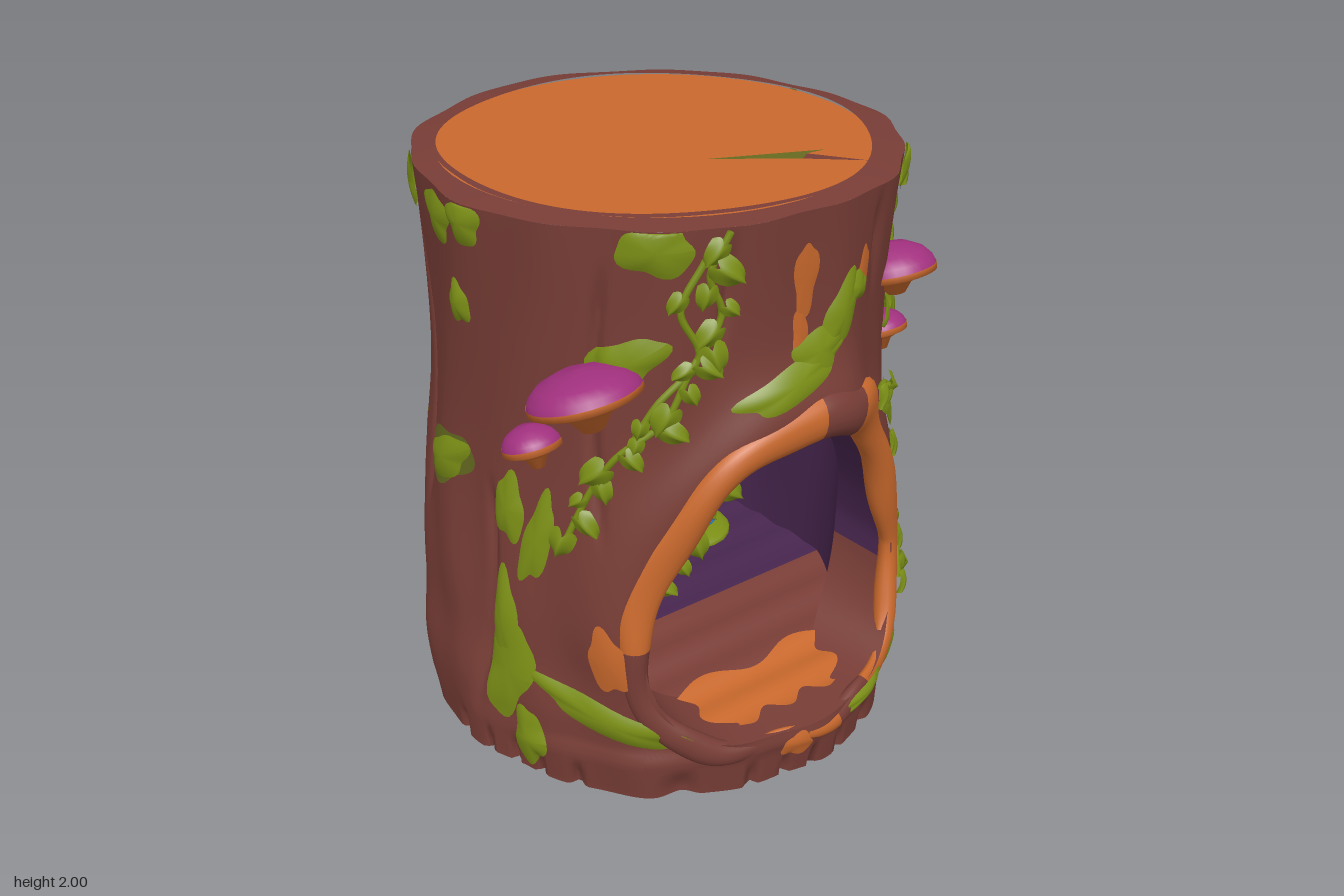
import * as THREE from 'three';

const mat = (name, color, side = THREE.FrontSide) => {
  const m = new THREE.MeshStandardMaterial({ color, side });
  m.name = name;
  return m;
};
const V = (x, y, z) => new THREE.Vector3(x, y, z);
const { sin, cos, abs, PI, exp, sqrt, pow, asin, min, max } = Math;
const lerp = THREE.MathUtils.lerp, smooth = THREE.MathUtils.smoothstep;
const DEG = PI / 180;

// Indexed surface from a rule f(u, v), with optional exact normals
function grid(f, nu, nv, normal) {
  const pos = [], nor = [], idx = [];
  for (let j = 0; j <= nv; j++) for (let i = 0; i <= nu; i++) {
    pos.push(...f(i / nu, j / nv).toArray());
    if (normal) nor.push(...normal(i / nu, j / nv).toArray());
    if (i < nu && j < nv) {
      const a = j * (nu + 1) + i, b = a + 1, c = a + nu + 1, d = c + 1;
      idx.push(a, b, d, a, d, c);
    }
  }
  const g = new THREE.BufferGeometry();
  g.setAttribute('position', new THREE.Float32BufferAttribute(pos, 3));
  g.setIndex(idx);
  if (normal) g.setAttribute('normal', new THREE.Float32BufferAttribute(nor, 3));
  else g.computeVertexNormals();
  return g;
}

// Trunk radius by height, and deep bark creases [angle, low y, high y]
const PROFILE = new THREE.SplineCurve([[0, .83], [.25, .85], [.45, .83], [.65, .82], [1, .785], [1.3, .765], [1.65, .765], [2, .785]].map(p => new THREE.Vector2(p[1], p[0])));
const ROWS = PROFILE.getPoints(60);
const CREASES = [[-150, .3, 1.9], [-112, .7, 2], [-80, .1, 1.1], [-48, .9, 1.9], [-22, 1.5, 2], [24, 1.55, 2], [52, .5, 1.6],
  [66, .2, 1.2], [122, .9, 2], [131, .3, 2], [147, .1, 1.5], [160, .9, 2], [174, .2, 1.6]];
function baseRadius(y) {
  let k = 0;
  while (k < 59 && ROWS[k + 1].y < y) k++;
  const a = ROWS[k], b = ROWS[k + 1];
  return lerp(a.x, b.x, min(1, max(0, (y - a.y) / (b.y - a.y))));
}
function radius(t, y) {
  let r = baseRadius(y);
  r += .008 * sin(3 * t + 2 * y + 1) + .008 * sin(7 * t + 1.5 * sin(2.2 * y)) + .006 * sin(15 * t + 2 * sin(3 * y + t));
  // ragged foot, back swelling, sill and raised door surround
  r -= .03 * (1 - smooth(y, .02, .13)) * pow(max(0, sin(29 * t + 4 * sin(5 * t))), 4);
  r += .035 * exp(-(((y - .95) / .22) ** 2)) * max(0, -cos(t)) ** 2;
  if (cos(t) > 0) {
    const q = sqrt((.8 * sin(t) / .5) ** 2 + ((y - .68) / (y > .68 ? .6 : .48)) ** 2);
    r += .045 * exp(-(((q - 1.08) / .2) ** 2)) * smooth(y, .1, .3);
    r += .03 * cos(t) * (1 - smooth(y, .14, .22));
    r += .02 * exp(-(((y - 1.38) / .14) ** 2) - (t / .4) ** 2);
  }
  for (const [a, y0, y1] of CREASES) {
    const d = (t - a * DEG + .04 * sin(4 * y + a)) / .026;
    if (abs(d) < 3) r -= .022 * exp(-d * d) * smooth(y, y0, y0 + .3) * (1 - smooth(y, y1 - .2, y1));
  }
  return r;
}
const wrap = t => t > PI ? t - 2 * PI : t < -PI ? t + 2 * PI : t;
const polar = (t, r, y) => V(r * sin(t), y, r * cos(t));
const bark = (t, y) => polar(t, radius(wrap(t), y), y);
const barkNormal = (t, y) => {
  const e = .006;
  return bark(t + e, y).sub(bark(t - e, y)).cross(bark(t, y + e).sub(bark(t, y - e))).normalize();
};
const cavity = (t, y) => polar(t, (.63 + .022 * sin(6 * t + 2 * sin(2 * y)) - .05 * exp(-(((wrap(t - PI) + .12 + .12 * sin(3 * y)) / .12) ** 2))) * sqrt(max(.05, 1 - max(0, (y - .95) / .62) ** 2)), y);

// Arched doorway: top and bottom heights for s in -1..1
const HALF = .5;
const archTop = s => .6 + .67 * pow(max(0, 1 - pow(abs(s), 2.2)), .65);
const archLow = s => .6 - .4 * pow(max(0, 1 - pow(abs(s), 5)), .6);
const doorAngle = (s, r) => asin(s * HALF / r);
const door = (a, r) => [doorAngle(sin(a), r), cos(a) >= 0 ? archTop(sin(a)) : archLow(sin(a))];

export function createModel() {
  const root = new THREE.Group();
  root.name = 'hollowStump';
  const brown = mat('bark brown', 0x783d36), orange = mat('cut wood orange', 0xc8682c, THREE.DoubleSide);
  const moss = mat('moss green', 0x7c9016, THREE.DoubleSide), faded = mat('faded moss', 0x666a20, THREE.DoubleSide);
  const purple = mat('hollow purple', 0x48264f), magenta = mat('cap magenta', 0xa2317f);
  const blue = mat('mushroom blue', 0x2685d2, THREE.DoubleSide);
  const add = (name, geo, m, parent = root) => {
    const mesh = new THREE.Mesh(geo, m);
    mesh.name = name;
    parent.add(mesh);
    return mesh;
  };

  // Trunk and cavity walls: around the back, over the doorway and under it
  function wall(name, surf, normal, r, m, y0, y1, flip, n) {
    const edge = doorAngle(1, r), S = u => sin((u - .5) * PI);
    const parts = [
      [(u, v) => [lerp(edge, 2 * PI - edge, u), lerp(y0, y1, v)], n, 64],
      [(u, v) => [doorAngle(S(u), r), lerp(archTop(S(u)), y1, v)], 80, 40],
      [(u, v) => [doorAngle(S(u), r), lerp(y0, archLow(S(u)), v)], 80, 20]];
    for (const [p, nu, nv] of parts) {
      const q = (u, v) => p(flip ? 1 - u : u, v);
      add(name, grid((u, v) => surf(...q(u, v)), nu, nv, normal && ((u, v) => normal(...q(u, v)))), m);
    }
  }
  wall('trunk', bark, barkNormal, .8, brown, 0, 1.985, false, 280);
  wall('hollowWall', cavity, null, .63, purple, .18, 1.52, true, 100);
  for (const [a0, m] of [[-100, purple], [100, brown]]) add('doorLining', grid((u, v) => {
    const a = (a0 + u * (a0 < 0 ? 200 : 160)) * DEG;
    return cavity(...door(a, .63)).lerp(bark(...door(a, .8)), v);
  }, 64, 4), m);
  add('hollowCeiling', new THREE.CircleGeometry(.5, 32).rotateX(PI / 2).translate(0, 1.5, 0), purple);

  // Cut top, bark ring and underside, with a split running through
  add('topRing', grid((u, v) => {
    const t = (u * 2 - 1) * PI;
    return bark(t, 1.985).lerp(polar(t, .69 + .008 * sin(5 * t), 2), v);
  }, 160, 2), brown);
  add('cutTop', new THREE.CircleGeometry(.7, 64).rotateX(-PI / 2).translate(-.01, 1.997, .01), orange);
  add('underside', grid((u, v) => bark(-(u * 2 - 1) * PI, 0).multiplyScalar(1 - v).setY(0), 160, 1), brown);
  const sliver = (name, y, pts, m) => add(name, new THREE.ShapeGeometry(new THREE.Shape(pts.map(p => new THREE.Vector2(p[0], -p[1])))).rotateX(-PI / 2).translate(0, y, 0), m);
  sliver('topCrackMoss', 2, [[-.01, .28], [.23, .45], [.27, .42], [.34, .425]], faded);
  sliver('topCrackBark', 2, [[.23, .45], [.38, .58], [.27, .42]], brown);
  sliver('underCrack', -.002, [[0, .02], [.34, .69], [.4, .66]], orange);

  // Floor sloping to the sill
  const floor = (name, z0, z1, m, lift = 0, wide = 1) => add(name, grid((u, v) => {
    const z = lerp(z1, z0, v), w = sqrt(max(0, .79 ** 2 - z * z)) * wide;
    const zz = z + (lift ? .025 * sin(u * 15) : 0);
    return V(lerp(-w, w, u), .28 - .08 * smooth(zz, .1, .72) + .006 * sin(zz * 40) + lift, zz);
  }, 40, 24), m);
  floor('hollowFloor', -.78, .2, purple);
  floor('doorFloor', .2, .785, brown);
  floor('sillWood', .53, .75, orange, .008, .8);

  // Knobbly door rim, pieced from orange wood and bark
  function rim(a0, a1, m) {
    add('doorRim', grid((u, v) => {
      const a = lerp(a0, a1, u) * DEG, b = -v * 2 * PI;
      const [t, y] = door(a, .8), n = polar(t, 1, 0);
      const e = V(cos(t), 0, -sin(t)).multiplyScalar(sin(a)).add(V(0, cos(a), 0)).normalize();
      const knob = .05 * exp(-(((a / DEG - 30) / 9) ** 2));
      const w = .055 + .009 * sin(5 * a + 1) + .014 * cos(a) + knob * .7, h = .04 + .007 * sin(7 * a) + .014 * cos(a);
      return bark(t, y).addScaledVector(e, .04 + knob + w * cos(b) + .01 * sin(9 * a)).addScaledVector(n, -.018 + h * sin(b));
    }, 50, 16), m);
  }
  [[-88, 3, orange], [3, 21, brown], [21, 148, orange], [148, 168, brown], [168, 200, orange], [200, 272, brown]].forEach(r => rim(...r));

  // Irregular patches that hug a wall: angle, y, half width, half height, tilt
  function patch(name, m, list, puff = 0, inside = false, lift = .009) {
    list.forEach(([deg, y, w, h, tilt = 0], k) => add(name, grid((u, v) => {
      const a = (inside ? u : -u) * 2 * PI, q = tilt * DEG;
      const r = v * (1 + .11 * sin(3 * a + k) + .08 * sin(5 * a + 2 * k));
      const px = r * w * cos(a), py = r * h * sin(a);
      const t = deg * DEG + (px * cos(q) - py * sin(q)) / (inside ? .63 : .79);
      const yy = min(1.985, max(.003, y + px * sin(q) + py * cos(q)));
      const p = inside ? cavity(t, yy) : bark(t, yy);
      return p.addScaledVector(polar(t, 1, 0), (inside ? -1 : 1) * (lift + puff * (1 - v * v)));
    }, 36, 8), m));
  }
  patch('moss', moss, [
    [-4, 1.46, .2, .055, 18], [3, 1.53, .1, .07, 20], [10, 1.63, .06, .13, -25], [15, 1.69, .06, .05], [-36, 1.93, .11, .08], [45, 1.94, .12, .06], [-80, 1.93, .07, .07],
    [75, 1.9, .05, .08], [-43, 1.57, .14, .07, 30], [-85, 1.65, .05, .07], [39, 1.15, .14, .07, -38], [60, 1.35, .1, .05],
    [-47, .32, .26, .06, -20], [-72, .4, .09, .2, -10], [-66, .16, .06, .12], [-64, .92, .05, .17, -15], [62, .46, .05, .13], [45, .1, .06, .11],
    [56, .2, .09, .06], [76, .28, .04, .08], [19, .185, .12, .03, 10], [86, 1.84, .06, .04], [92, .83, .12, .11], [103, .81, .1, .1],
    [-120, 1.89, .08, .09], [-92, 1.9, .1, .08], [-96, 1.05, .14, .07, 30],
    [-140, .92, .2, .055, -35], [-73, .56, .06, .2], [-72, 1.0, .06, .12]], .016);
  patch('fadedMoss', faded, [[85, 1.85, .12, .09], [108, 1.82, .09, .16], [92, .83, .14, .14], [103, .81, .13, .13], [90, 1.14, .025, .03],
    [-133, 1.74, .07, .06], [-157, 1.06, .1, .1], [-146, .99, .11, .13, 20], [-172, .95, .05, .14, 15], [-96, 1.05, .16, .09, 30]], 0, false, .007);
  patch('bareWood', orange, [[-1, 1.77, .045, .12], [-2, 1.6, .03, .08], [17, 1.73, .035, .08, -10], [-46, .56, .06, .12, 10],
    [-4, .14, .05, .05]], .004);
  patch('barkSlit', purple, [[131, 1.77, .016, .11], [138, .82, .02, .11], [174, 1.18, .014, .05], [172, .5, .014, .03], [47, 1.88, .01, .03]]);
  patch('innerBark', brown, [[176, .74, .1, .22, 8], [181, .5, .045, .24, -4]], .004, true);
  patch('innerWood', orange, [[174.5, .97, .11, .08, 10], [182, .44, .035, .16]], .014, true);
  patch('blueGlow', blue, [[-132, .46, .07, .09], [150, .45, .11, .1]], 0, true);

  // Shelf mushrooms: x, y, z, radius, cap height, foot depth
  const lathe = pts => new THREE.LatheGeometry(pts.map(p => new THREE.Vector2(...p)), 28);
  [[-.64, 1.49, .53, .175, .08, .11], [-.71, 1.265, .34, .095, .06, .08], [.53, 1.6, .57, .14, .09, .08], [.67, 1.285, .38, .1, .06, .08]].forEach(([x, y, z, r, h, d]) => {
    const g = new THREE.Group();
    g.name = 'shelfMushroom';
    g.position.set(x, y, z);
    g.rotation.set(-.28, 0, x > 0 ? .06 : .1);
    add('cap', lathe([[r, 0], [r * .95, h * .3], [r * .78, h * .62], [r * .45, h * .9], [0, h]]), magenta, g);
    add('gills', lathe([[0, -d], [r * .2, -d], [r * .4, -d * .55], [r * .85, -d * .25], [r * 1.01, -.016], [r * 1.01, .004]]), orange, g);
    root.add(g);
  });

  // Blue mushrooms on mossy mounds in the hollow: x, z, height, cap radius
  [[-.38, -.28, .31, .12], [-.33, -.16, .16, .065], [-.29, -.24, .12, .05], [.3, -.3, .25, .08], [.36, -.22, .2, .07], [.25, -.2, .15, .05], [.32, -.14, .13, .05]].forEach(([x, z, h, r]) => {
    const g = new THREE.Group();
    g.name = 'blueMushroom';
    g.position.set(x, .27, z);
    add('stem', lathe([[r * .38, 0], [r * .28, h * .3], [r * .3, h - r * .7]]), blue, g);
    add('cap', lathe([[0, h - r * .75], [r * .9, h - r * .95], [r, h - r * .8], [r * .88, h - r * .35], [r * .5, h - r * .06], [0, h]]), blue, g);
    root.add(g);
  });
  for (const [x, z] of [[-.32, -.22], [.32, -.22]]) add('mossMound', new THREE.SphereGeometry(.16, 20, 10).scale(1, .22, 1).translate(x, .28, z), moss);
  add('bluePool', new THREE.CircleGeometry(.1, 24).rotateX(-PI / 2).scale(2, 1, .8).rotateY(PI / 3).translate(-.33, .289, -.04), blue);

  // Vines with plump heart-shaped leaves
  const leafGeo = grid((u, v) => {
    const x = u * 2 - 1, w = .56 * pow(1 - v, .75) * (.8 + .9 * v);
    return V(x * w, -1 + (1 - v) ** 0 * (1 - v) + (1 - v) * .22 * sin(abs(x) * PI), .3 - .28 * abs(x) - .5 * (v - .4) ** 2).setY(-v + (1 - v) * .22 * sin(abs(x) * PI));
  }, 10, 8);
  function vine(points, leaves, size) {
    const curve = new THREE.CatmullRomCurve3(points), g = new THREE.Group();
    g.name = 'vine';
    add('vineStem', new THREE.TubeGeometry(curve, 50, .011, 6), moss, g);
    for (let i = 0; i < leaves; i++) {
      const p = curve.getPointAt((i + .5) / leaves), s = i % 2 ? 1 : -1, t = Math.atan2(p.x, p.z);
      const leaf = add('leaf', leafGeo, moss, g);
      leaf.position.copy(p).add(polar(t, .012, 0)).addScaledVector(V(cos(t), 0, -sin(t)), s * .012);
      leaf.rotation.set(0, t, s * (.65 + .4 * sin(i * 2.3)), 'YXZ');
      leaf.scale.setScalar(size * (.9 + .25 * sin(i * 1.7)));
    }
    root.add(g);
  }
  const climb = list => list.map(([deg, y]) => bark(deg * DEG, y).addScaledVector(polar(deg * DEG, 1, 0), .022));
  vine(climb([[-21, 1.98], [-25, 1.85], [-22, 1.72], [-29, 1.55], [-34, 1.4], [-44, 1.28], [-50, 1.15], [-56, .96]]), 17, .085);
  vine(climb([[-26, 1.9], [-31, 1.75], [-27, 1.6], [-36, 1.45], [-42, 1.3]]), 3, .07);
  vine(climb([[64, 1.9], [67, 1.78], [72, 1.65], [69, 1.5], [66, 1.36]]), 9, .1);
  vine(climb([[59, .88], [63, .8], [65, .73]]), 4, .09);
  vine(climb([[40, .45], [48, .46], [54, .52], [57, .58]]), 6, .08);
  vine(climb([[30, 1.26], [34, 1.25], [38, 1.22]]), 4, .08);
  vine([V(-.17, 1.1, .6), V(-.18, 1.02, .56), V(-.24, .92, .54), V(-.27, .8, .53), V(-.4, .7, .5)], 10, .08);
  return root;
}
